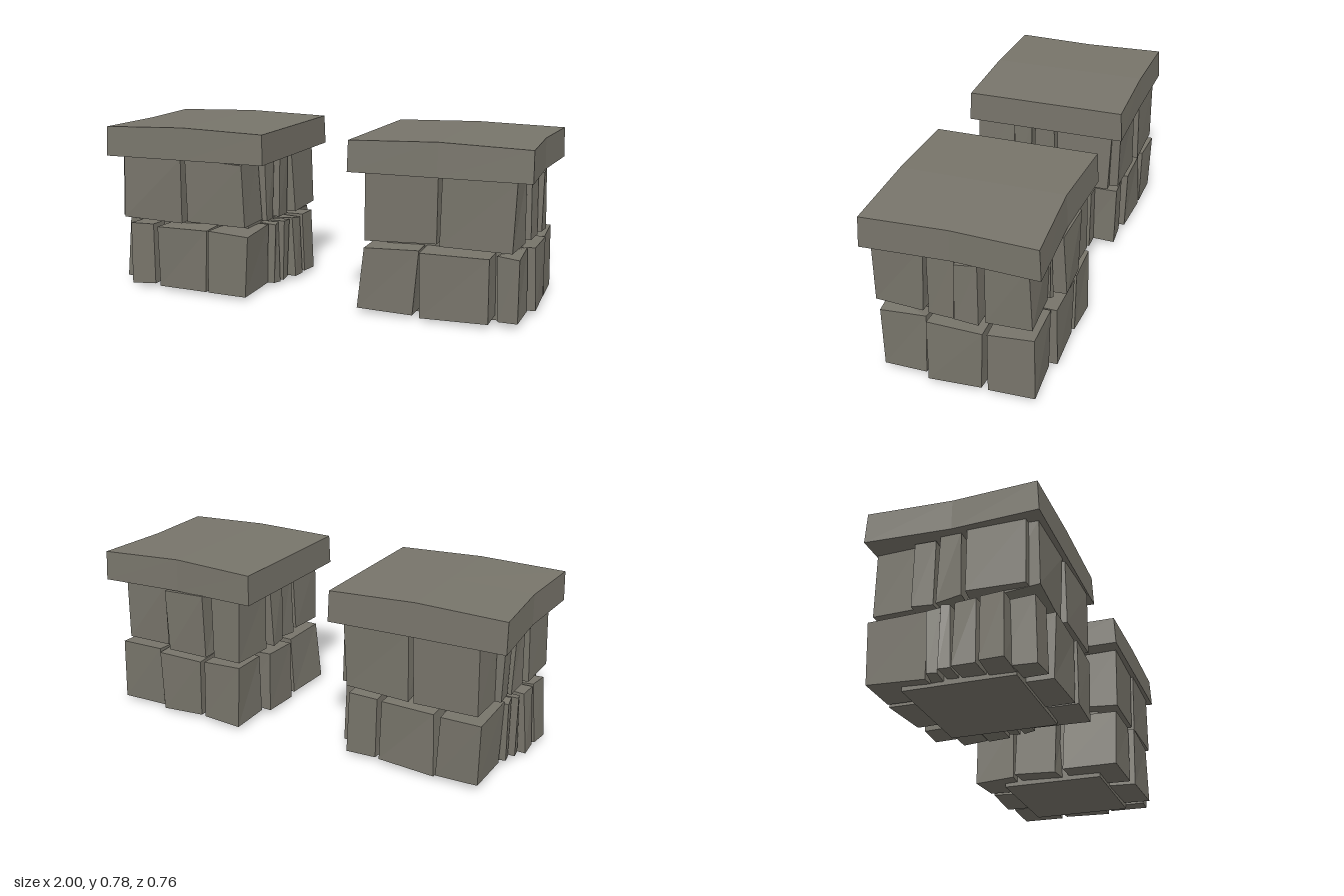
import * as THREE from 'three';

const stoneMat = new THREE.MeshStandardMaterial({ color: 0x77746a });
stoneMat.name = 'weathered stone grey';

// Seeded random in -1..1
let seed = 7;
const rnd = () => {
  seed = (seed * 16807) % 2147483647;
  return (seed / 2147483647) * 2 - 1;
};

// Faceted mesh from a box whose vertices are moved by a rule
function facetedBox(name, box, segments, move) {
  const [x0, x1, z0, z1, y0, y1] = box;
  const geo = new THREE.BoxGeometry(x1 - x0, y1 - y0, z1 - z0, ...segments);
  geo.translate((x0 + x1) / 2, (y0 + y1) / 2, (z0 + z1) / 2);
  const pos = geo.attributes.position;
  const v = new THREE.Vector3();
  for (let i = 0; i < pos.count; i++) {
    v.fromBufferAttribute(pos, i);
    move(v);
    pos.setXYZ(i, v.x, v.y, v.z);
  }
  const flat = geo.toNonIndexed();
  flat.computeVertexNormals();
  const mesh = new THREE.Mesh(flat, stoneMat);
  mesh.name = name;
  return mesh;
}

// Rough block: each of the eight corners is nudged once, shared by its faces; lean shifts the top in x
function stone(name, box, lean) {
  const nudges = new Map();
  const midY = (box[4] + box[5]) / 2;
  return facetedBox(name, box, [1, 1, 1], (v) => {
    const key = v.toArray().map((n) => n.toFixed(3)).join();
    if (!nudges.has(key)) nudges.set(key, new THREE.Vector3(rnd() * 0.008, rnd() * 0.008, rnd() * 0.008));
    v.x += (v.y > midY ? 0.5 : -0.5) * lean;
    v.add(nudges.get(key));
  });
}

// Cap slab: edges pinched half way along, top slightly raised in the middle
function capSlab(pinch) {
  return facetedBox('capSlab', [-0.4, 0.4, -0.378, 0.378, 0.63, 0.767], [2, 1, 2], (v) => {
    const top = v.y > 0.7;
    const midX = Math.abs(v.x) < 0.01, midZ = Math.abs(v.z) < 0.01;
    if (midZ && Math.sign(v.x) === pinch.side) v.x -= pinch.side * 0.02;
    if (midX && v.z < 0) v.z += pinch.back;
    if (midX && top) v.y += 0.012;
    if (top) {
      v.x *= 0.994;
      v.z *= 0.98;
    }
  });
}

// Stone boxes: x0, x1, z0, z1, then optionally lean, y0, y1
const halfTurn = (list) => [...list, ...list.map(([a, b, c, d, lean = 0]) => [-b, -a, -d, -c, -lean])];

const rightPillar = {
  lower: halfTurn([
    [-0.315, -0.18, 0.18, 0.34],
    [-0.15, 0.1, 0.18, 0.36],
    [0.12, 0.308, 0.12, 0.373, 0.01],
    [0.2, 0.335, 0.06, 0.11],
    [0.2, 0.355, 0.0, 0.05],
    [0.2, 0.375, -0.115, -0.015, -0.02],
    [0.2, 0.382, -0.235, -0.13, -0.02],
  ]),
  upper: halfTurn([
    [-0.325, -0.03, 0.18, 0.355],
    [0.0, 0.295, 0.19, 0.367, -0.01],
    [0.2, 0.325, 0.09, 0.18],
    [0.2, 0.34, -0.03, 0.07],
    [0.2, 0.36, -0.315, -0.055, -0.01],
  ]),
};

const leftPillar = {
  lower: [
    [-0.345, -0.1, 0.09, 0.348, 0.03],
    [-0.075, 0.23, 0.18, 0.372],
    [0.26, 0.345, 0.135, 0.338],
    [0.2, 0.378, -0.122, 0.115],
    [0.14, 0.362, -0.335, -0.135],
    [-0.105, 0.12, -0.36, -0.18],
    [-0.325, -0.135, -0.37, -0.18],
    [-0.36, -0.2, -0.15, 0.05],
  ],
  upper: [
    [-0.322, -0.005, 0.14, 0.355, 0.01],
    [0.015, 0.33, 0.14, 0.36],
    [0.2, 0.35, 0.0, 0.12],
    [0.2, 0.37, -0.11, -0.005, 0, 0.345, 0.612],
    [0.11, 0.33, -0.312, -0.13],
    [0.07, 0.1, -0.32, -0.2],
    [-0.15, 0.06, -0.37, -0.18, 0.01],
    [-0.33, -0.175, -0.35, -0.13],
    [-0.35, -0.2, -0.1, 0.0],
    [-0.335, -0.2, 0.02, 0.11],
  ],
};

function pillar(name, x, rows, pinch) {
  const group = new THREE.Group();
  group.name = name;
  // Plain core behind the loose stones
  group.add(facetedBox('core', [-0.26, 0.26, -0.24, 0.24, 0, 0.65], [1, 1, 1], () => {}));
  for (const [a, b, c, d, lean = 0] of rows.lower) {
    group.add(stone('lowerStone', [a, b, c, d, 0.018, 0.303], lean));
  }
  for (const [a, b, c, d, lean = 0, y0 = 0.335, y1 = 0.63] of rows.upper) {
    group.add(stone('upperStone', [a, b, c, d, y0, y1], lean));
  }
  group.add(capSlab(pinch));
  group.position.x = x;
  return group;
}

export function createModel() {
  seed = 7;
  const model = new THREE.Group();
  model.name = 'stonePillars';
  model.add(pillar('rightPillar', -0.6, rightPillar, { side: -1, back: 0.004 }));
  model.add(pillar('leftPillar', 0.6, leftPillar, { side: 1, back: 0.018 }));
  return model;
}
